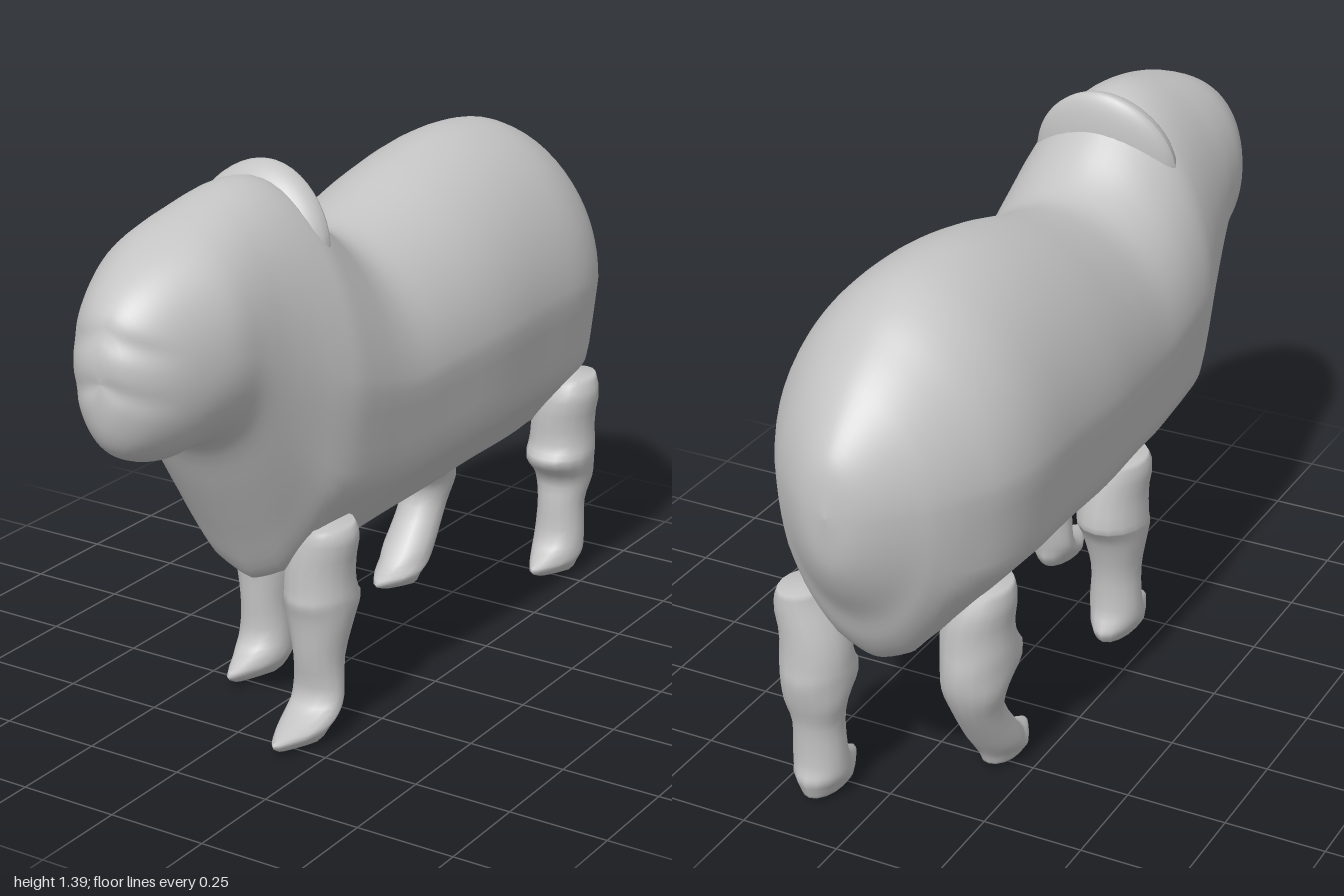
import * as THREE from 'three';

const { smoothstep, lerp } = THREE.MathUtils;

// Catmull-Rom interpolation of table rows, giving `steps` rows per interval
function refine(rows, steps) {
  const out = [];
  const at = (i) => rows[Math.min(Math.max(i, 0), rows.length - 1)];
  for (let i = 0; i < rows.length - 1; i++) {
    for (let s = 0; s < steps; s++) {
      const t = s / steps;
      out.push(at(i).map((b, k) => {
        const a = at(i - 1)[k], c = at(i + 1)[k], d = at(i + 2)[k];
        return b + 0.5 * t * (c - a + t * (2 * a - 5 * b + 4 * c - d + t * (3 * (b - c) + d - a)));
      }));
    }
  }
  out.push(rows[rows.length - 1]);
  return out;
}

// Skin over closed rings; point(row, angle) returns [x, y, z]
function loft(rows, sides, point) {
  const pos = [], index = [];
  rows.forEach((row, i) => {
    for (let j = 0; j < sides; j++) {
      pos.push(...point(row, (j / sides) * Math.PI * 2));
      if (i === rows.length - 1) continue;
      const a = i * sides + j, b = i * sides + ((j + 1) % sides);
      index.push(a, a + sides, b, b, a + sides, b + sides);
    }
  });
  const g = new THREE.BufferGeometry();
  g.setAttribute('position', new THREE.Float32BufferAttribute(pos, 3));
  g.setIndex(index);
  g.computeVertexNormals();
  return g;
}

const power = (v, e) => Math.sign(v) * Math.pow(Math.abs(v), e);

// z, top, bottom, half width, height of the widest point
const bodyRows = [
  [-1.0, 0.86, 0.86, 0, 0.86],
  [-0.985, 0.965, 0.74, 0.06, 0.86],
  [-0.95, 1.03, 0.655, 0.115, 0.86],
  [-0.89, 1.1, 0.56, 0.18, 0.86],
  [-0.85, 1.14, 0.47, 0.215, 0.86],
  [-0.79, 1.187, 0.4, 0.255, 0.86],
  [-0.7, 1.245, 0.395, 0.3, 0.86],
  [-0.58, 1.285, 0.395, 0.325, 0.86],
  [-0.4, 1.29, 0.395, 0.326, 0.86],
  [-0.2, 1.255, 0.39, 0.325, 0.85],
  [0, 1.2, 0.385, 0.308, 0.84],
  [0.13, 1.178, 0.38, 0.298, 0.83],
  [0.22, 1.21, 0.38, 0.294, 0.84],
  [0.31, 1.285, 0.38, 0.292, 0.86],
  [0.39, 1.35, 0.38, 0.288, 0.88],
  [0.45, 1.37, 0.39, 0.275, 0.9],
  [0.52, 1.37, 0.51, 0.255, 0.94],
  [0.6, 1.355, 0.65, 0.235, 0.99],
  [0.68, 1.335, 0.785, 0.22, 1.04],
  [0.76, 1.31, 0.815, 0.207, 1.06],
  [0.84, 1.275, 0.81, 0.175, 1.05],
  [0.91, 1.23, 0.83, 0.137, 1.04],
  [0.96, 1.18, 0.865, 0.095, 1.03],
  [0.99, 1.12, 0.93, 0.05, 1.03],
  [1.0, 1.03, 1.03, 0, 1.03],
];

// Half width of the underside by depth: a crease along the flank, then a sloping belly
const belly = [[0, 1], [0.46, 0.91], [0.68, 0.63], [0.93, 0.3], [1, 0]];
function bellyWidth(d) {
  const i = Math.max(1, belly.findIndex(([depth]) => depth >= d));
  const [d0, w0] = belly[i - 1], [d1, w1] = belly[i];
  return lerp(w0, w1, (d - d0) / (d1 - d0));
}

function bodyPoint([z, top, bottom, w, cy], a) {
  const c = Math.cos(a), s = Math.sin(a);
  let x, y;
  if (c >= 0) {
    const e = lerp(1.08, 0.92, smoothstep(z, 0.4, 0.75));
    x = w * power(s, e);
    y = cy + (top - cy) * power(c, e);
  } else {
    const creased = smoothstep(z, -0.88, -0.72) * (1 - smoothstep(z, 0.35, 0.6));
    const depth = Math.min(1, -c);
    x = w * lerp(s, Math.sign(s) * bellyWidth(depth), creased);
    y = cy - (cy - bottom) * depth;
  }
  // shallow nose and mouth folds on the muzzle
  const muzzle = smoothstep(z, 0.86, 0.97);
  const fold = (h, d) => d * Math.exp(-(((y - h + 0.35 * Math.abs(x)) / 0.025) ** 2));
  return [x, y, z - muzzle * (fold(1.14, 0.01) + fold(1.03, 0.007))];
}

// y, front z, back z, half width
const legRows = {
  frontLeftLeg: [
    [0.54, 0.44, 0.3, 0.05], [0.5, 0.452, 0.292, 0.075], [0.38, 0.458, 0.284, 0.088],
    [0.345, 0.462, 0.264, 0.089], [0.3, 0.45, 0.29, 0.083], [0.2, 0.438, 0.318, 0.064],
    [0.1, 0.425, 0.338, 0.068], [0.06, 0.49, 0.345, 0.068], [0.035, 0.575, 0.348, 0.06],
    [0.01, 0.55, 0.365, 0.045],
  ],
  frontRightLeg: [
    [0.53, 0.22, 0.06, 0.05], [0.48, 0.24, 0.045, 0.075], [0.37, 0.236, 0.022, 0.088],
    [0.34, 0.24, 0.035, 0.089], [0.3, 0.226, 0.06, 0.083], [0.2, 0.22, 0.088, 0.064],
    [0.1, 0.222, 0.09, 0.068], [0.06, 0.28, 0.075, 0.068], [0.035, 0.325, 0.065, 0.06],
    [0.01, 0.29, 0.08, 0.045],
  ],
  hindLeftLeg: [
    [0.56, -0.75, -0.885, 0.05], [0.5, -0.722, -0.89, 0.075], [0.38, -0.722, -0.895, 0.088],
    [0.33, -0.697, -0.9, 0.089], [0.27, -0.752, -0.888, 0.08], [0.2, -0.75, -0.87, 0.064],
    [0.1, -0.74, -0.868, 0.068], [0.06, -0.69, -0.88, 0.068], [0.035, -0.655, -0.875, 0.06],
    [0.01, -0.7, -0.865, 0.045],
  ],
  hindRightLeg: [
    [0.54, -0.51, -0.66, 0.05], [0.48, -0.495, -0.685, 0.075], [0.39, -0.488, -0.692, 0.088],
    [0.33, -0.45, -0.7, 0.089], [0.27, -0.53, -0.692, 0.08], [0.2, -0.53, -0.662, 0.064],
    [0.1, -0.455, -0.598, 0.068], [0.06, -0.41, -0.57, 0.068], [0.035, -0.355, -0.555, 0.06],
    [0.01, -0.4, -0.545, 0.045],
  ],
};

function legGeometry(rows, side) {
  const first = rows[0], last = rows[rows.length - 1];
  const closed = ([, f, b], y) => [y, (f + b) / 2, (f + b) / 2, 0];
  const all = [closed(first, first[0]), ...refine(rows, 3), closed(last, 0)];
  return loft(all, 16, ([y, front, back, w], a) => {
    const foot = 1 - smoothstep(y, 0.03, 0.1);
    const c = Math.cos(a);
    const taper = 1 - 0.6 * foot * Math.max(c, 0); // pointed toes
    const lean = 0.028 * smoothstep(y, 0.42, 0.54);
    const x = side * (0.153 + lean) + w * Math.sin(a) * taper;
    return [x, y, (front + back) / 2 + ((front - back) / 2) * c];
  });
}

export function createModel() {
  const model = new THREE.Group();
  const grey = new THREE.MeshStandardMaterial({ color: 0xc4c4c4 });
  grey.name = 'plainGrey';

  const add = (name, geometry) => {
    const mesh = new THREE.Mesh(geometry, grey);
    mesh.name = name;
    model.add(mesh);
  };

  // Body, neck and head as one smooth skin
  add('bodyAndHead', loft(refine(bodyRows, 4), 64, bodyPoint));

  // Ears joined into one arched ridge: steep behind, running out over the crown in front
  const ears = new THREE.SphereGeometry(1, 32, 24);
  const p = ears.attributes.position;
  for (let i = 0; i < p.count; i++) {
    const x = p.getX(i), y = p.getY(i), z = p.getZ(i);
    const depth = z > 0 ? 0.1 : 0.045;
    p.setXYZ(i, x * 0.19, 1.2 + y * 0.187 * (1 - 0.1 * x * x), 0.365 + z * depth - 0.015 * y + 0.02 * x * x);
  }
  ears.computeVertexNormals();
  add('earRidge', ears);

  // Legs in mid-stride
  for (const [name, rows] of Object.entries(legRows)) {
    add(name, legGeometry(rows, name.includes('Left') ? 1 : -1));
  }
  return model;
}
